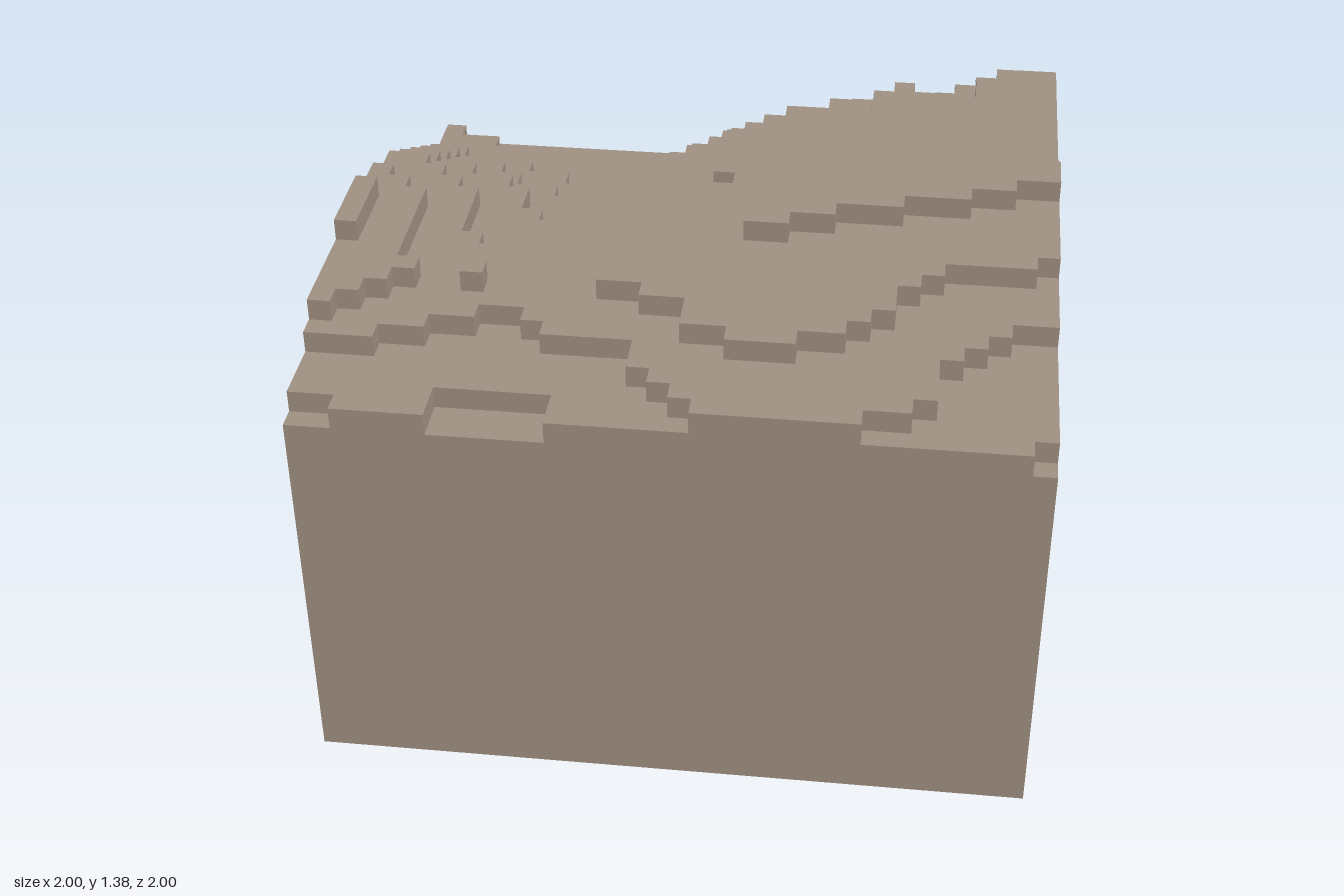
import * as THREE from 'three';

const N = 32;      // cells along each side
const S = 2 / N;   // size of one cell
const BASE = 14;   // height of the solid block, in cells

// An edge gives a row (counted from the back) for every column
const flat = (row) => () => row;

// Edge running straight between a few [column, row] points
const line = (...pts) => (col) => {
  const i = Math.max(1, pts.findIndex((p) => p[0] >= col));
  const [[c0, r0], [c1, r1]] = [pts[i - 1], pts[i]];
  return r0 + (r1 - r0) * (col - c0) / (c1 - c0);
};

// Edge part of the way between two others
const blend = (a, b, t) => (col) => a(col) + (b(col) - a(col)) * t;

// One cell-high plate between two edges, snapped to whole cells
function makePlate(name, material, level, from, to, back, front) {
  const rear = [], fore = [];
  for (let col = from; col < to; col++) {
    for (const side of [col, col + 1]) {
      rear.push([side, Math.round(back(col))]);
      fore.push([side, Math.round(front(col))]);
    }
  }
  const corners = [...rear, ...fore.reverse()].filter((p, i, all) => {
    const next = all[(i + 1) % all.length];
    return p[0] !== next[0] || p[1] !== next[1];
  });
  const shape = new THREE.Shape(corners.map(([c, r]) => new THREE.Vector2(c * S - 1, 1 - r * S)));
  const geometry = new THREE.ExtrudeGeometry(shape, { depth: S, bevelEnabled: false });
  geometry.rotateX(-Math.PI / 2);
  const plate = new THREE.Mesh(geometry, material);
  plate.name = name;
  plate.position.y = (level - 1) * S;
  return plate;
}

export function createModel() {
  const group = new THREE.Group();
  group.name = 'terrain';
  const stone = new THREE.MeshStandardMaterial({ color: 0x9e8f80 });
  stone.name = 'stone';
  const plate = (name, ...rest) => group.add(makePlate(name, stone, ...rest));

  // Solid ground block
  const block = new THREE.Mesh(new THREE.BoxGeometry(2, BASE * S, 2), stone);
  block.name = 'groundBlock';
  block.position.y = BASE * S / 2;
  group.add(block);

  // Back slope: steps climbing evenly from the lower edge to the valley edge
  const lower = line([0, 4], [3, 5], [9, 5], [13, 4], [19, 0], [N, 0]);
  const valley = line([0, 10], [5, 12], [8, 16], [9, 16], [11, 14], [13, 9], [16, 6], [19, 6], [27, 0], [N, 0]);
  plate('slopeFoot', 15, 0, N, line([0, 0], [1, 1], [5, 2], [12, 2], [16, 0], [N, 0]), flat(N));
  for (let i = 0; i < 3; i++) {
    plate('slopeStep', 16 + i, 0, N, blend(lower, valley, i / 3), flat(N));
  }

  // Valley floor, with shallow dips along the front
  plate('valleyFloor', 19, 0, N, valley,
    line([0, 31], [1, 31], [2, N], [5, N], [6, 30], [10, 30], [11, N], [30, N], [31, 31]));

  // Middle terrace
  plate('middleTerrace', 20, 0, N,
    line([0, 12], [1, 12], [4, 15], [5, 19], [6, 20], [10, 20], [13, 17], [14, 11], [16, 8], [21, 6],
      [25, 3], [30, 2], [31, 1]),
    line([0, 28], [1, 28], [8, 25], [10, 27], [13, 27], [14, 29], [17, N], [23, N], [26, 30], [27, 27],
      [30, 24], [31, 24]));

  // Upper terraces on both sides and a single raised cell
  plate('upperTerrace', 21, 12, N,
    line([12, 20], [15, 19], [16, 15], [17, 9], [20, 8], [24, 4], [26, 5], [28, 3], [31, 2]),
    line([12, 24], [15, 25], [16, 27], [20, 28], [24, 25], [25, 23], [27, 21], [30, 21], [31, 20]));
  plate('upperTerraceEdge', 21, 16, 17, flat(10), flat(14));
  plate('sideTerrace', 21, 0, 4, line([0, 15], [2, 17], [3, 23]), line([0, 27], [3, 24]));
  plate('bump', 21, 6, 7, flat(23), flat(24));

  // Plateaus at the top
  plate('topPlateau', 22, 18, N,
    line([18, 10], [21, 8], [24, 9], [26, 7], [27, 7], [28, 5], [29, 4], [30, 6], [31, 13]),
    line([18, 20], [31, 15]));
  plate('sideRidge', 22, 0, 1, flat(18), flat(22));

  return group;
}
